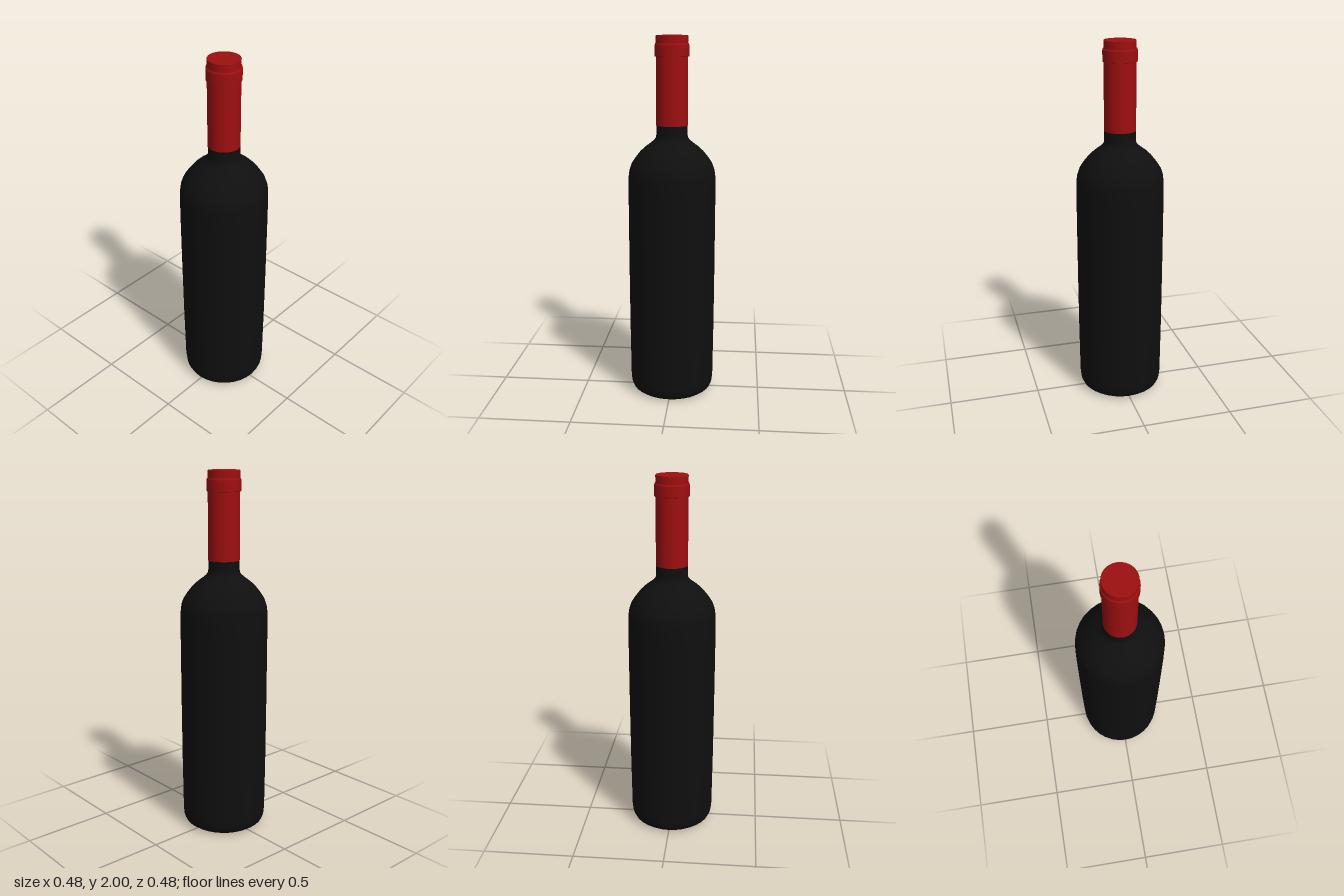
import * as THREE from 'three';

const glass = new THREE.MeshStandardMaterial({ color: 0x0f0f0f });
glass.name = 'black glass';
const foil = new THREE.MeshStandardMaterial({ color: 0x9e0f10 });
foil.name = 'red foil';

// Revolves a bottom-to-top profile; a repeated point makes a sharp edge.
function turned(name, profile, material) {
  const points = profile.map(([r, y]) => new THREE.Vector2(r, y));
  const mesh = new THREE.Mesh(new THREE.LatheGeometry(points, 32), material);
  mesh.name = name;
  return mesh;
}

export function createModel() {
  const bottle = new THREE.Group();
  bottle.name = 'bottle';

  // Hollow under the base
  bottle.add(turned('basePunt', [
    [0, 0.12], [0.05, 0.113], [0.1, 0.09], [0.145, 0.055], [0.175, 0.02], [0.19, 0],
  ], glass));

  // Base rim, straight body, rounded shoulder and short bare neck
  bottle.add(turned('body', [
    [0.19, 0], [0.203, 0.004], [0.222, 0.018], [0.232, 0.04], [0.236, 0.08],
    [0.239, 0.4], [0.24, 0.72], [0.24, 1.12], [0.238, 1.25],
    [0.234, 1.28], [0.222, 1.315], [0.2, 1.348], [0.173, 1.382], [0.145, 1.408],
    [0.115, 1.43], [0.096, 1.446], [0.088, 1.458], [0.085, 1.475], [0.085, 1.525],
  ], glass));

  // Foil sleeve around the neck
  bottle.add(turned('foilSleeve', [
    [0.08, 1.525], [0.086, 1.525], [0.086, 1.525], [0.086, 1.89],
  ], foil));

  // Raised collar below the mouth
  bottle.add(turned('foilCollar', [
    [0.086, 1.888], [0.092, 1.89], [0.092, 1.89], [0.092, 1.948],
    [0.092, 1.948], [0.09, 1.957], [0.086, 1.957],
  ], foil));

  // Closed foil cap
  bottle.add(turned('foilCap', [
    [0.086, 1.957], [0.086, 1.997], [0.086, 1.997], [0.084, 2], [0.084, 2], [0, 2],
  ], foil));

  return bottle;
}
